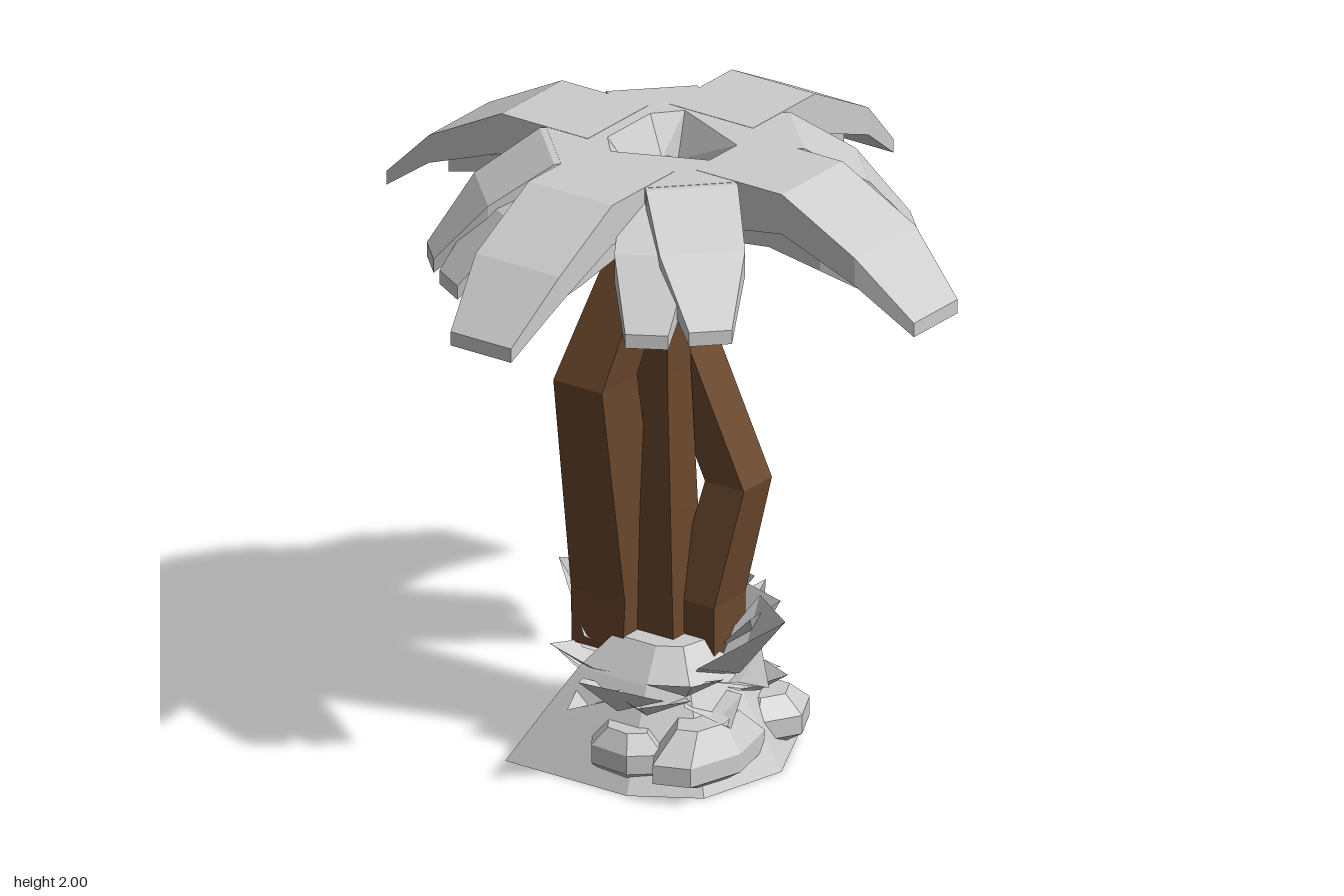
import * as THREE from 'three';

const grey = new THREE.MeshStandardMaterial({ color: 0xcccccc, side: THREE.DoubleSide, flatShading: true });
grey.name = 'pale grey';
const brown = new THREE.MeshStandardMaterial({ color: 0x6b482d, side: THREE.DoubleSide, flatShading: true });
brown.name = 'bark brown';

// Skin a list of equal-length rings, with optional end caps
function loft(rings, capStart = true, capEnd = true) {
  const pos = [];
  const tri = (a, b, c) => pos.push(...a, ...b, ...c);
  const n = rings[0].length;
  for (let i = 0; i < rings.length - 1; i++) {
    for (let j = 0; j < n; j++) {
      const k = (j + 1) % n;
      const a = rings[i][j], b = rings[i][k], c = rings[i + 1][k], d = rings[i + 1][j];
      tri(a, b, c);
      tri(a, c, d);
    }
  }
  const last = rings[rings.length - 1];
  for (let j = 1; j < n - 1; j++) {
    if (capStart) tri(rings[0][0], rings[0][j + 1], rings[0][j]);
    if (capEnd) tri(last[0], last[j], last[j + 1]);
  }
  const g = new THREE.BufferGeometry();
  g.setAttribute('position', new THREE.Float32BufferAttribute(pos, 3));
  g.computeVertexNormals();
  return g;
}

function add(parent, name, geometry, material) {
  const m = new THREE.Mesh(geometry, material);
  m.name = name;
  parent.add(m);
  return m;
}

const rect = (x, y, z, w, d = w) => [[x - w, y, z + d], [x + w, y, z + d], [x + w, y, z - d], [x - w, y, z - d]];

// Drooping frond along +x; stations are [radius, top, bottom, half width]
function frond(stations) {
  return loft(stations.map(([r, t, b, w]) => [[r, b, w], [r, b, -w], [r, t, -w], [r, t, w]]));
}

// Folded pointed blade along +x, its two side corners at their own heights
function blade({ tip, side, leftY, rightY, fold, base }) {
  const b = [0.08, base, 0], t = [...tip, 0], f = [...fold, 0];
  const l = [side[0], leftY, side[1]], r = [side[0], rightY, -side[1]];
  const g = new THREE.BufferGeometry();
  g.setAttribute('position', new THREE.Float32BufferAttribute([b, l, f, f, l, t, b, f, r, f, t, r].flat(), 3));
  g.computeVertexNormals();
  return g;
}

// Flattened, faceted stone
function stone(x, z, rx, rz, top, sides, turn) {
  return loft([[0.03, 0.6], [0.065, 1], [0.125, 1], [top, 0.55]].map(([y, s]) =>
    Array.from({ length: sides }, (_, i) => {
      const a = turn + i / sides * Math.PI * 2;
      return [x + Math.cos(a) * rx * s, y, z - Math.sin(a) * rz * s];
    })));
}

export function createModel() {
  const model = new THREE.Group();
  model.name = 'palmTree';

  // Three bent trunks meeting under the crown; points are [x, y, z, half width, half depth]
  const trunks = new THREE.Group();
  trunks.name = 'trunks';
  model.add(trunks);
  const paths = {
    frontTrunk: [[0.075, 0.3, 0.08, 0.08], [0.075, 0.5, 0.08, 0.08], [0.14, 0.87, 0.145, 0.072],
      [0.14, 1.45, -0.135, 0.072], [0.05, 1.7, -0.05, 0.072]],
    backTrunk: [[-0.04, 0.33, -0.18, 0.095], [-0.03, 0.5, -0.18, 0.1], [-0.2, 1.25, -0.14, 0.09],
      [-0.05, 1.7, -0.05, 0.07]],
    middleTrunk: [[0.02, 0.3, -0.05, 0.08, 0.1], [0, 0.8, -0.04, 0.07, 0.085], [-0.005, 1.25, -0.03, 0.06],
      [0, 1.74, -0.03, 0.06]],
  };
  for (const [name, pts] of Object.entries(paths)) {
    add(trunks, name, loft(pts.map((p) => rect(...p))), brown);
  }

  // Crown plate with a six-sided hollow
  const crown = new THREE.Group();
  crown.name = 'crown';
  model.add(crown);
  const hollow = [[-0.07, 0.19], [0.07, 0.19], [0.19, -0.09], [0.11, -0.16], [-0.11, -0.16], [-0.19, -0.09]];
  const neck = [[-0.06, 0.1], [0.06, 0.1], [0.1, -0.05], [0.08, -0.095], [-0.08, -0.095], [-0.1, -0.05]];
  const plate = new THREE.Shape(Array.from({ length: 8 }, (_, i) => {
    const a = (i + 0.5) * Math.PI / 4;
    return new THREE.Vector2(Math.cos(a) * 0.39, Math.sin(a) * 0.39);
  }));
  plate.holes.push(new THREE.Path(hollow.map(([x, z]) => new THREE.Vector2(x, -z))));
  const plateGeo = new THREE.ExtrudeGeometry(plate, { depth: 0.12, bevelEnabled: false });
  plateGeo.rotateX(-Math.PI / 2).translate(0, 1.879, 0);
  add(crown, 'crownPlate', plateGeo, grey);
  const ring = (pts, y) => pts.map(([x, z]) => [x, y, z]);
  add(crown, 'crownFunnel', loft([ring(hollow, 1.999), ring(neck, 1.88)], false, true), grey);
  add(crown, 'crownSocket', loft([rect(0, 1.86, 0, 0.085), rect(0, 1.9, 0, 0.07)], false, true), grey);
  add(crown, 'crownUnderside', new THREE.CylinderGeometry(0.37, 0.09, 0.2, 8).translate(0, 1.775, 0), grey);

  // Four long fronds with shorter ones tucked beneath
  const longFrond = frond([[0.2, 2, 1.82, 0.155], [0.52, 2, 1.87, 0.155], [0.79, 1.86, 1.77, 0.155], [0.978, 1.68, 1.635, 0.112]]);
  const underFrond = frond([[0.18, 1.88, 1.76, 0.11], [0.45, 1.88, 1.8, 0.125], [0.64, 1.82, 1.77, 0.125], [0.77, 1.76, 1.72, 0.08]]);
  for (let i = 0; i < 4; i++) {
    add(crown, 'longFrond', longFrond, grey).rotation.y = i * Math.PI / 2;
    add(crown, 'underFrond', underFrond, grey).rotation.y = i * Math.PI / 2;
  }

  // Pairs of short fronds on each diagonal
  const sideFrond = frond([[0.21, 1.998, 1.84, 0.12], [0.38, 1.998, 1.87, 0.14], [0.58, 1.87, 1.79, 0.13], [0.735, 1.68, 1.635, 0.065]]);
  const lowFrond = frond([[0.21, 1.97, 1.8, 0.1], [0.38, 1.95, 1.83, 0.115], [0.57, 1.86, 1.77, 0.115], [0.735, 1.67, 1.625, 0.065]]);
  for (const sx of [0, 1]) {
    for (const sz of [1, -1]) {
      const turn = (deg) => sz * (sx ? Math.PI - deg * Math.PI / 180 : deg * Math.PI / 180);
      add(crown, 'sideFrond', sideFrond, grey).rotation.y = turn(45);
      add(crown, 'lowFrond', lowFrond, grey).rotation.y = turn(30);
    }
  }

  // Tapered rocky mound
  const ground = new THREE.Group();
  ground.name = 'base';
  model.add(ground);
  const outline = [[-0.37, 0.1], [-0.25, 0.3], [0.05, 0.37], [0.3, 0.25], [0.36, -0.1], [0.17, -0.36], [-0.37, -0.35]];
  add(ground, 'mound', loft([[0, 1], [0.16, 0.76], [0.29, 0.56], [0.39, 0.35]].map(([y, s]) =>
    outline.map(([x, z]) => [x * s, y, z * s]))), grey);

  // Stones round the foot: [x, z, rx, rz, top, sides, turn]
  const stones = [
    [-0.14, 0.23, 0.24, 0.13, 0.21, 7, 0.2], [0.2, 0.2, 0.15, 0.14, 0.18, 6, 0.5], [0.27, 0.04, 0.1, 0.13, 0.2, 6, 0],
    [-0.28, 0.04, 0.09, 0.14, 0.18, 6, 0.4], [0.21, -0.18, 0.11, 0.16, 0.16, 6, 0.3], [-0.06, -0.27, 0.12, 0.06, 0.15, 5, 0.1],
  ];
  for (const s of stones) add(ground, 'stone', stone(...s), grey);

  // Spiky leaf rosettes; turns are about the trunk axis
  const half = Math.PI / 2;
  const leaves = [
    { name: 'tallLeaf', turns: [-half], tip: [0.42, 0.52], side: [0.21, 0.16], leftY: 0.37, rightY: 0.5, fold: [0.25, 0.31], base: 0.26 },
    { name: 'tallLeaf', turns: [half], tip: [0.42, 0.52], side: [0.21, 0.16], leftY: 0.5, rightY: 0.37, fold: [0.25, 0.31], base: 0.26 },
    { name: 'broadLeaf', turns: [0], tip: [0.31, 0.49], side: [0.21, 0.155], leftY: 0.53, rightY: 0.53, fold: [0.25, 0.35], base: 0.27 },
    { name: 'cornerLeaf', turns: [-half / 2], tip: [0.33, 0.46], side: [0.21, 0.17], leftY: 0.48, rightY: 0.48, fold: [0.25, 0.32], base: 0.27 },
    { name: 'spreadLeaf', turns: [0.7, 2.3, -2.35], tip: [0.37, 0.36], side: [0.24, 0.12], leftY: 0.32, rightY: 0.32, fold: [0.26, 0.28], base: 0.24 },
    { name: 'lowerLeaf', turns: [0.3, 1.9, -1.2, -2.8], tip: [0.36, 0.28], side: [0.24, 0.13], leftY: 0.27, rightY: 0.27, fold: [0.27, 0.22], base: 0.24 },
    { name: 'droopingLeaf', turns: [1.1, 2.7, -0.5, -2], tip: [0.36, 0.2], side: [0.25, 0.1], leftY: 0.25, rightY: 0.25, fold: [0.28, 0.2], base: 0.26 },
    { name: 'longLeaf', turns: [0, Math.PI], tip: [0.48, 0.385], side: [0.25, 0.15], leftY: 0.28, rightY: 0.28, fold: [0.28, 0.22], base: 0.2 },
    { name: 'shortLeaf', turns: [half, -half], tip: [0.36, 0.29], side: [0.22, 0.155], leftY: 0.33, rightY: 0.33, fold: [0.25, 0.28], base: 0.24 },
  ];
  for (const leaf of leaves) {
    const geometry = blade(leaf);
    for (const turn of leaf.turns) add(ground, leaf.name, geometry, grey).rotation.y = turn;
  }
  return model;
}
